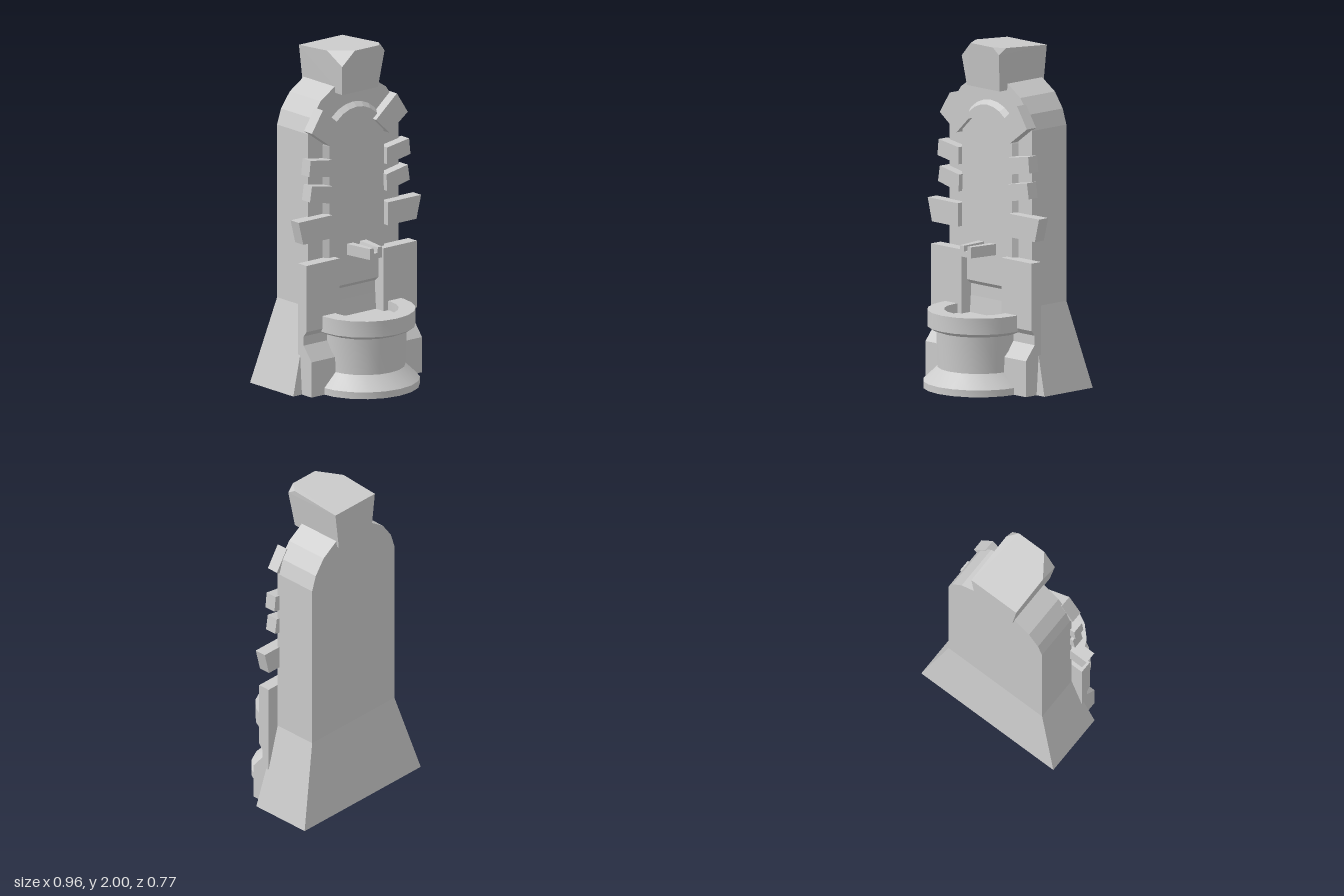
import * as THREE from 'three';
import { toCreasedNormals } from 'three/addons/utils/BufferGeometryUtils.js';
import { ConvexGeometry } from 'three/addons/geometries/ConvexGeometry.js';

const flat = new THREE.MeshStandardMaterial({ color: 0xcccccc, flatShading: true });
const smooth = new THREE.MeshStandardMaterial({ color: 0xcccccc });

const outline = (pts) => new THREE.Shape(pts.map(([x, y]) => new THREE.Vector2(x, y)));

// Outline extruded from z0 to z1
function prism(pts, z0, z1) {
  const geo = new THREE.ExtrudeGeometry(outline(pts), { depth: z1 - z0, bevelEnabled: false });
  return geo.translate(0, 0, z0);
}

// Closes a right-hand half outline with its mirror image
const mirrored = (half) => [...half, ...half.map(([x, y]) => [-x, y]).reverse()];

export function createModel() {
  const model = new THREE.Group();
  const add = (name, geo, material = flat) => {
    const mesh = new THREE.Mesh(geo, material);
    mesh.name = name;
    model.add(mesh);
    return mesh;
  };

  // Wall with a faceted round top
  add('wall', prism(mirrored([
    [0.34, 0.5], [0.34, 1.53], [0.31, 1.62], [0.245, 1.71], [0.13, 1.785],
  ]), -0.31, -0.035));

  // Flared foot of the wall
  const foot = new THREE.BoxGeometry(2, 0.5, 2).translate(0, 0.25, 0);
  const p = foot.attributes.position;
  for (let i = 0; i < p.count; i++) {
    const top = p.getY(i) > 0.25;
    const front = p.getZ(i) > 0;
    p.setX(i, p.getX(i) * (top ? 0.34 : 0.48));
    p.setZ(i, front ? (top ? -0.035 : 0) : (top ? -0.31 : -0.385));
  }
  add('wallFoot', foot);

  // Raised arched panel with a bevelled edge
  const arch = [[0.205, 0.595]];
  for (let i = 0; i <= 6; i++) {
    const a = (i / 6) * Math.PI / 2;
    arch.push([0.205 * Math.cos(a), 1.44 + 0.2 * Math.sin(a)]);
  }
  const left = arch.slice(0, -1).map(([x, y]) => [-x, y]).reverse();
  const panel = new THREE.ExtrudeGeometry(outline([...arch, ...left]), {
    depth: 0.01, bevelSize: 0.025, bevelThickness: 0.03, bevelSegments: 1,
  });
  add('archPanel', panel.translate(0, 0, -0.045));

  // Keystone with two chipped front corners
  add('keystone', new ConvexGeometry([
    [-0.135, 1.74, 0.025], [0.135, 1.74, 0.025], [-0.135, 1.74, -0.325], [0.135, 1.74, -0.325],
    [-0.163, 1.97, -0.325], [0.163, 1.97, -0.325],
    [-0.163, 1.989, -0.075], [-0.068, 2, 0.06], [-0.154, 1.915, 0.048],
    [0.163, 1.995, 0], [0.115, 2, 0.06], [0.16, 1.96, 0.054],
  ].map((v) => new THREE.Vector3(...v))));

  // Arch stones, pillars: one of each per side
  const stones = [
    [[0.122, 1.545], [0.222, 1.45], [0.36, 1.55], [0.278, 1.675]],
    [[0.205, 1.265], [0.38, 1.295], [0.37, 1.39], [0.205, 1.365]],
    [[0.205, 1.106], [0.375, 1.143], [0.36, 1.235], [0.2, 1.206]],
    [[0.21, 0.9], [0.425, 0.9], [0.46, 1.037], [0.21, 1.037]],
  ];
  const pillarProfile = [
    [-0.035, 0], [0.085, 0], [0.085, 0.21], [0.015, 0.295],
    [0.015, 0.35], [0.04, 0.38], [0.04, 0.775], [-0.035, 0.775],
  ];
  for (const side of [1, -1]) {
    const tag = side > 0 ? 'Left' : 'Right';
    stones.forEach((pts, i) => {
      add(`archStone${tag}${i + 1}`, prism(pts.map(([x, y]) => [x * side, y]), -0.048, 0.024));
    });
    const pillar = prism(pillarProfile, -0.125, 0.125).rotateY(-Math.PI / 2);
    add(`pillar${tag}`, pillar.translate(side * 0.29, 0, 0));
  }

  // Round basin, its rear half set into the wall
  const profile = [
    [0, 0], [0.322, 0], [0.322, 0.04], [0.238, 0.12], [0.247, 0.335],
    [0.285, 0.35], [0.297, 0.36], [0.297, 0.455], [0.2, 0.455], [0.2, 0.4], [0, 0.4],
  ].map(([r, y]) => new THREE.Vector2(r, y));
  const basin = toCreasedNormals(new THREE.LatheGeometry(profile, 20), 0.5);
  add('basin', basin.translate(0, 0, 0.06), smooth);

  // Spout: grooved block narrowing towards the front
  const spout = prism(mirrored([
    [0.045, 0.77], [0.045, 0.835], [0.016, 0.835], [0.012, 0.802],
  ]), -0.02, 0.165);
  const s = spout.attributes.position;
  for (let i = 0; i < s.count; i++) s.setX(i, s.getX(i) * (1 + (0.165 - s.getZ(i)) * 3.7));
  add('spout', spout);

  return model;
}
